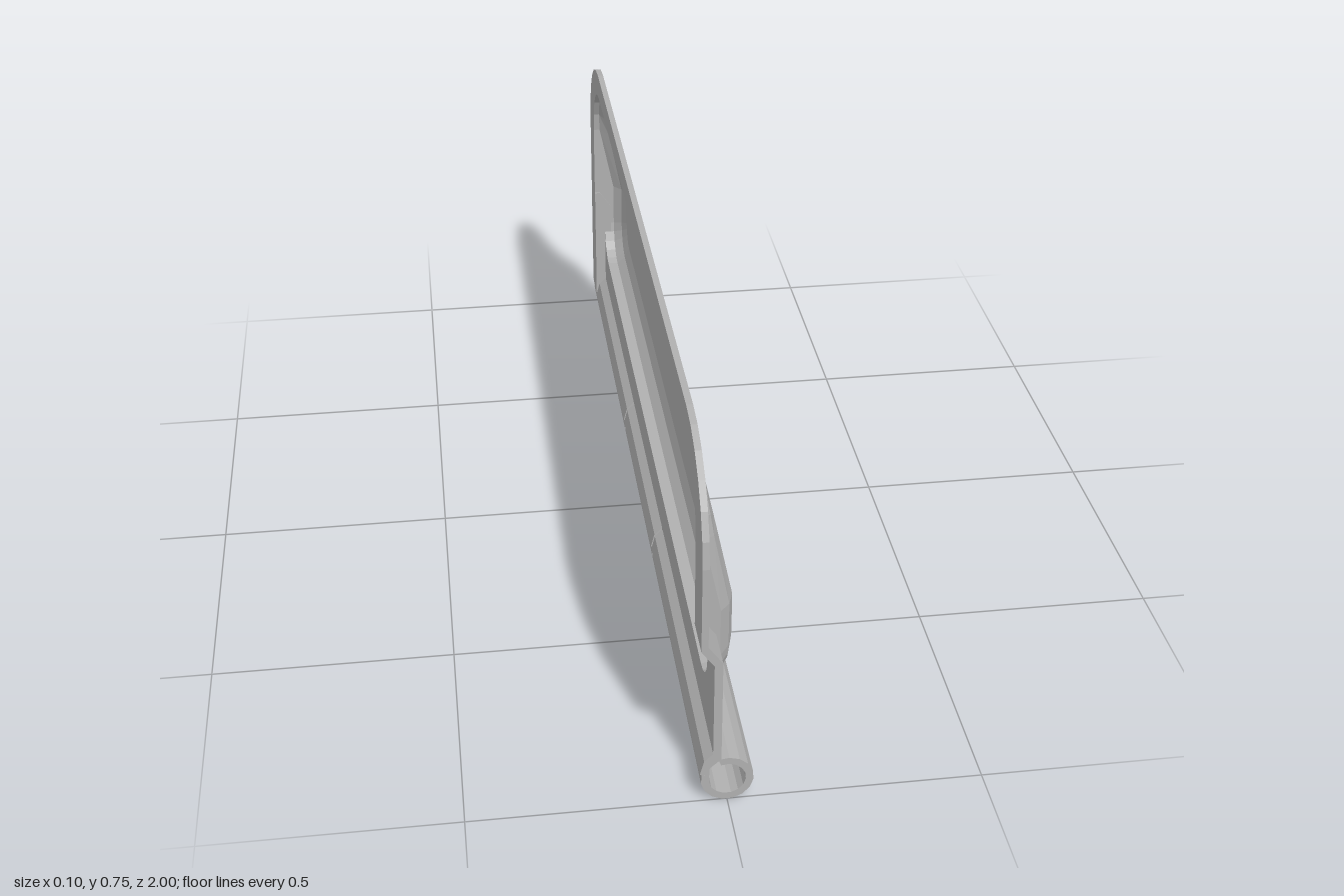
import * as THREE from 'three';

const Z = 0.915;                       // half length of the raised panel
const Y0 = 0.2, Y1 = 0.7;              // panel bottom and top
const RB = 0.08, RT = 0.15;            // panel corner radii

// Half outline of the panel as [z, y], bottom to top, shrunk by d
function halfOutline(d) {
  const pts = [], rb = RB - d * 0.6, rt = RT - d * 0.6, n = 5;
  const w = Z - d, lo = Y0 + d, hi = Y1 - d;
  for (let i = 0; i <= n; i++) {
    const a = (i / n) * Math.PI / 2;
    pts.push([w - rb + rb * Math.sin(a), lo + rb - rb * Math.cos(a)]);
  }
  pts.push([w, 0.33], [w, 0.37], [w, 0.385]);
  for (let i = 0; i <= n; i++) {
    const a = (i / n) * Math.PI / 2;
    pts.push([w - rt + rt * Math.cos(a), hi - rt + rt * Math.sin(a)]);
  }
  return pts;
}

const mix = THREE.MathUtils.lerp;
const ramp = (y, a, b, va, vb) => mix(va, vb, THREE.MathUtils.clamp((y - a) / (b - a), 0, 1));
const baseX = (y) => ramp(y, 0.33, 0.37, -0.014, -0.042);
const rimX = (y) => ramp(y, 0.385, 0.56, -0.004, -0.04);
const faceX = (y) => ramp(y, 0.385, 0.7, 0.025, -0.04);

// Pressed, hollow panel lofted from shrinking outlines
function panelGeometry() {
  const outlines = [0, 0, 0.02, 0.05].map(halfOutline);
  const inner = outlines[3];
  const depth = [
    (y) => baseX(y),
    (y) => rimX(y),
    (y, i) => mix(rimX(y), faceX(inner[i][1]), 0.65),
    (y) => faceX(y),
  ];
  const rings = outlines.map((half, k) => {
    const side = half.map(([z, y], i) => [depth[k](y, i), y, z]);
    return [...side, ...side.map(([x, y, z]) => [x, y, -z]).reverse()];
  });
  const pos = [];
  const quad = (a, b, c, d) => pos.push(...a, ...b, ...c, ...a, ...c, ...d);
  const n = rings[0].length;
  for (let k = 0; k < 3; k++) {
    for (let i = 0; i < n; i++) {
      const j = (i + 1) % n;
      quad(rings[k][i], rings[k + 1][i], rings[k + 1][j], rings[k][j]);
    }
  }
  const face = rings[3];
  for (let i = 0; i < n / 2 - 1; i++) {
    quad(face[n - 1 - i], face[n - 2 - i], face[i + 1], face[i]);
  }
  const g = new THREE.BufferGeometry();
  g.setAttribute('position', new THREE.Float32BufferAttribute(pos, 3));
  g.computeVertexNormals();
  return g;
}

const toShape = (pts) => new THREE.Shape(pts.map(([x, y]) => new THREE.Vector2(x, y)));

// Sheet drawn in (z, y), its outer face at x = front
function sheet(pts, front, thickness) {
  const g = new THREE.ExtrudeGeometry(toShape(pts), { depth: thickness, bevelEnabled: false });
  return g.rotateY(-Math.PI / 2).translate(front, 0, 0);
}

// Section drawn in (x, y), swept from z0 to z1
function sweep(pts, z0, z1) {
  const g = new THREE.ExtrudeGeometry(toShape(pts), { depth: z1 - z0, bevelEnabled: false });
  return g.translate(0, 0, z0);
}

export function createModel() {
  const model = new THREE.Group();
  const metal = new THREE.MeshStandardMaterial({ color: 0xb0b0b0, side: THREE.DoubleSide });
  metal.name = 'grey metal';
  const add = (name, geometry) => {
    const mesh = new THREE.Mesh(geometry, metal);
    mesh.name = name;
    model.add(mesh);
  };

  add('raisedPanel', panelGeometry());

  const half = halfOutline(0);
  const mirror = (pts) => pts.map(([z, y]) => [-z, y]).reverse();

  // Upper border with rounded corners; one leg runs down to the hinge
  const corner = [];
  for (let i = 0; i <= 6; i++) {
    const a = (i / 6) * Math.PI / 2;
    corner.push([0.78 + 0.22 * Math.cos(a), 0.545 + 0.21 * Math.sin(a)]);
  }
  const top = half.filter(([, y]) => y >= 0.369);
  add('border', sheet([
    [1, 0.37], ...corner, ...mirror(corner), [-1, 0.07], [-Z, 0.07],
    ...mirror(top).reverse(), ...top.slice().reverse(),
  ], -0.04, 0.013));

  // Lower flange wrapped around the bottom of the panel
  const low = half.filter(([, y]) => y <= 0.331);
  add('lowerFlange', sheet([
    [-Z, 0.1], [1, 0.1], [1, 0.33], ...low.slice().reverse(), ...mirror(low).reverse(),
  ], -0.012, 0.016));

  // Joggle between border and flange, and the step at the other end
  add('endJoggle', sweep([
    [-0.053, 0.37], [-0.053, 0.36], [-0.028, 0.325], [-0.012, 0.33], [-0.04, 0.37],
  ], Z, 1));
  add('endStep', sweep([
    [-0.053, 0.1], [-0.012, 0.1], [-0.012, 0.33], [-0.04, 0.37], [-0.053, 0.37],
  ], -Z - 0.006, -Z + 0.004));

  // Curled hinge barrels
  const curl = [];
  const arc = (r, from, to) => {
    for (let i = 0; i <= 13; i++) {
      const a = THREE.MathUtils.degToRad(mix(from, to, i / 13));
      curl.push([r * Math.cos(a), 0.051 + r * Math.sin(a)]);
    }
  };
  arc(0.051, 165, 470);
  arc(0.036, 470, 165);
  const neck = [[-0.028, 0.115], [-0.045, 0.098], [-0.053, 0.066], [-0.035, 0.06],
    [-0.034, 0.08], [-0.012, 0.1], [-0.012, 0.115]];
  for (const [z0, z1] of [[-1, -0.268], [-0.26, 0.26], [0.268, 1]]) {
    add('hingeBarrel', sweep(curl, z0, z1));
    add('hingeNeck', sweep(neck, z0, z1));
  }
  const core = new THREE.CylinderGeometry(0.037, 0.037, 0.5, 13);
  add('hingeCore', core.rotateX(Math.PI / 2).translate(0, 0.051, 0));

  // Small upright rib on the flange
  add('flangeRib', sweep([
    [-0.02, 0.1], [-0.008, 0.1], [0.005, 0.13], [0.005, 0.2], [-0.02, 0.2],
  ], -0.276, -0.262));

  return model;
}
